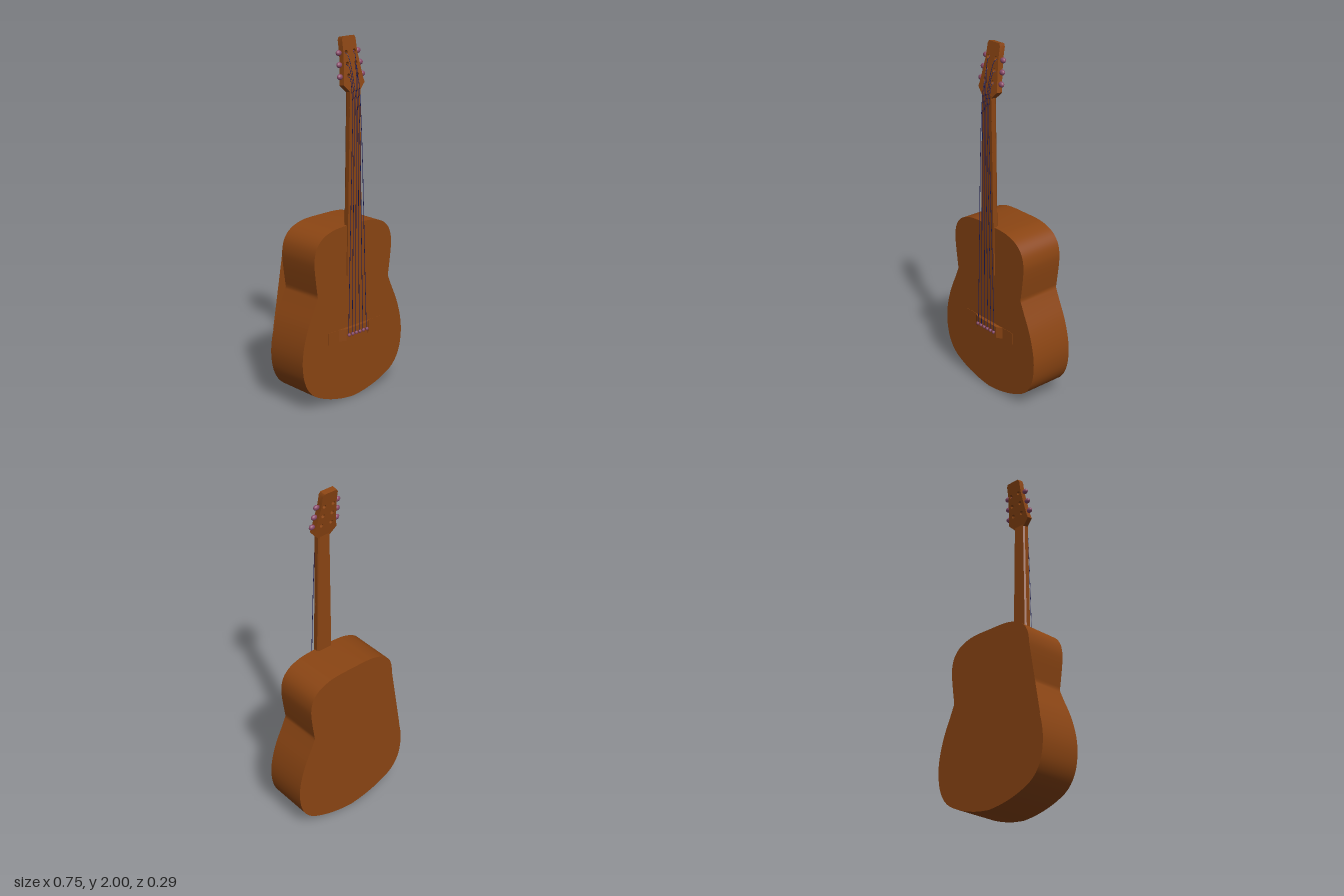
import * as THREE from 'three';
import { toCreasedNormals } from 'three/addons/utils/BufferGeometryUtils.js';

const wood = new THREE.MeshStandardMaterial({ color: 0x8b4513 });
const woodSheet = new THREE.MeshStandardMaterial({ color: 0x8b4513, side: THREE.DoubleSide });
const plum = new THREE.MeshStandardMaterial({ color: 0x8a4a6a });
const blue = new THREE.MeshStandardMaterial({ color: 0x1c1c5c });

const BACK = -0.147, FRONT = 0.109, NUT_Y = 1.72, NECK_FRONT = 0.115, TILT = -0.18;
const v2 = (pts, sx = 1) => pts.map(([x, y]) => new THREE.Vector2(x * sx, y));

function add(parent, name, geometry, material, x = 0, y = 0, z = 0) {
  const mesh = new THREE.Mesh(geometry, material);
  mesh.name = name;
  mesh.position.set(x, y, z);
  parent.add(mesh);
  return mesh;
}

function extrude(shape, depth, crease = 0.6) {
  const geometry = new THREE.ExtrudeGeometry(shape, { depth, bevelEnabled: false, curveSegments: 12 });
  return toCreasedNormals(geometry, crease);
}

// Smooth bouts meeting in a crease at the waist
function bodyOutline() {
  const upper = [[0.08, 1], [0.15, 0.993], [0.22, 0.968], [0.265, 0.925], [0.285, 0.865], [0.284, 0.79], [0.264, 0.645]];
  const lower = [[0.264, 0.645], [0.29, 0.585], [0.337, 0.48], [0.368, 0.37], [0.375, 0.27], [0.355, 0.17],
    [0.3, 0.093], [0.2, 0.042], [0.09, 0.012], [0, 0.001]];
  const sample = (pts) => new THREE.SplineCurve(v2(pts)).getPoints(32);
  const side = [...sample(upper), ...sample(lower).slice(1)];
  const mirrored = side.slice(0, -1).reverse().map((p) => new THREE.Vector2(-p.x, p.y));
  return new THREE.Shape([...side, ...mirrored]);
}

// Tapered neck with chamfered rear edges, lofted from two cross-sections
function neckGeometry() {
  const section = (w, y) => [[-w, 0.115], [w, 0.115], [w, 0.09], [w * 0.85, 0.081], [-w * 0.85, 0.081], [-w, 0.09]]
    .map(([x, z]) => [x, y, z]);
  const low = section(0.05, 0.98), high = section(0.037, NUT_Y + 0.015), n = low.length;
  const pos = [];
  for (let i = 0; i < n; i++) {
    const j = (i + 1) % n;
    pos.push(...low[i], ...low[j], ...high[j], ...low[i], ...high[j], ...high[i]);
    if (i > 0 && i < n - 1) pos.push(...high[0], ...high[i], ...high[j], ...low[0], ...low[j], ...low[i]);
  }
  const geometry = new THREE.BufferGeometry();
  geometry.setAttribute('position', new THREE.Float32BufferAttribute(pos, 3));
  geometry.computeVertexNormals();
  return geometry;
}

export function createModel() {
  const guitar = new THREE.Group();
  guitar.name = 'acousticGuitar';

  // Body, with a back panel that spans the waist on one side
  add(guitar, 'body', extrude(bodyOutline(), FRONT - BACK), wood, 0, 0, BACK);
  const span = new THREE.Shape(v2([[-0.281, 0.87], [-0.36, 0.415], [-0.33, 0.47], [-0.262, 0.645], [-0.28, 0.79]]));
  add(guitar, 'backPanelSpan', new THREE.ShapeGeometry(span), woodSheet, 0, 0, BACK);

  // Neck and fingerboard
  add(guitar, 'neck', neckGeometry(), wood);
  const board = new THREE.Shape(v2([[-0.055, 0.72], [0.055, 0.72], [0.05, 1], [0.037, NUT_Y], [-0.037, NUT_Y], [-0.05, 1]]));
  add(guitar, 'fingerboard', extrude(board, 0.012), wood, 0, 0, 0.104);

  // Tilted headstock with string holes and tuning pegs
  const head = new THREE.Group();
  head.name = 'headstock';
  head.position.set(0, NUT_Y, NECK_FRONT);
  head.rotation.x = TILT;
  guitar.add(head);
  const half = [[0.037, 0], [0.075, 0.038], [0.068, 0.065], [0.049, 0.2], [0.048, 0.27], [0.04, 0.285]];
  const plate = new THREE.Shape([...v2(half), ...v2(half, -1).reverse()]);
  const holes = [[0.031, 0.082], [0.03, 0.143], [0.029, 0.204]];
  for (const s of [-1, 1]) {
    holes.forEach(([x, y], i) => {
      const hole = new THREE.Path();
      hole.absarc(s * x, y, 0.011, 0, Math.PI * 2, true);
      plate.holes.push(hole);
      const px = s * (0.08 - i * 0.006);
      const peg = add(head, 'tuningPeg', new THREE.SphereGeometry(0.015, 16, 12), plum, px, y, -0.016);
      peg.scale.set(1.2, 1, 0.8);
      const shaft = add(head, 'pegShaft', new THREE.CylinderGeometry(0.004, 0.004, 0.03, 8), plum, px - s * 0.018, y, -0.016);
      shaft.rotation.z = Math.PI / 2;
    });
  }
  add(head, 'headPlate', extrude(plate, 0.033), wood, 0, 0, -0.033);

  // Bridge with sloping ends and low wings
  const bridge = new THREE.Shape(v2([[-0.19, -0.1], [0.2, -0.1], [0.2, -0.1105], [0.118, -0.1105], [0.085, -0.13],
    [-0.075, -0.13], [-0.11, -0.1105], [-0.19, -0.1105]]));
  add(guitar, 'bridge', extrude(bridge, 0.067, 0.2), wood, 0, 0.355, 0).rotation.x = -Math.PI / 2;

  // Bridge pins and the strings running up to the headstock holes
  for (let i = 0; i < 6; i++) {
    const x = -0.061 + 0.027 * i, nutX = -0.028 + 0.0112 * i;
    const pin = [[0, 0], [0.006, 0], [0.006, 0.007], [0.01, 0.009], [0.01, 0.012], [0.006, 0.016], [0, 0.017]];
    add(guitar, 'bridgePin', new THREE.LatheGeometry(v2(pin), 12), plum, x, 0.388, 0.129).rotation.x = Math.PI / 2;

    const [hx, hy] = holes[i < 3 ? i : 5 - i];
    const s = i < 3 ? -1 : 1;
    const onHead = (px, py, pz) => new THREE.Vector3(px, py, pz).applyEuler(head.rotation).add(head.position);
    const path = new THREE.CatmullRomCurve3([
      new THREE.Vector3(x, 0.39, 0.134),
      new THREE.Vector3(x * 0.75 + nutX * 0.25, 0.72, 0.132),
      new THREE.Vector3(x * 0.25 + nutX * 0.75, 1.38, 0.13),
      new THREE.Vector3(nutX, 1.65, 0.126),
      onHead(nutX, 0.01, 0.005),
      onHead(s * hx * 0.9, hy - 0.012, 0.004),
      onHead(s * hx, hy, -0.014),
    ]);
    add(guitar, 'string', new THREE.TubeGeometry(path, 60, 0.0016, 6), blue);
  }
  return guitar;
}
